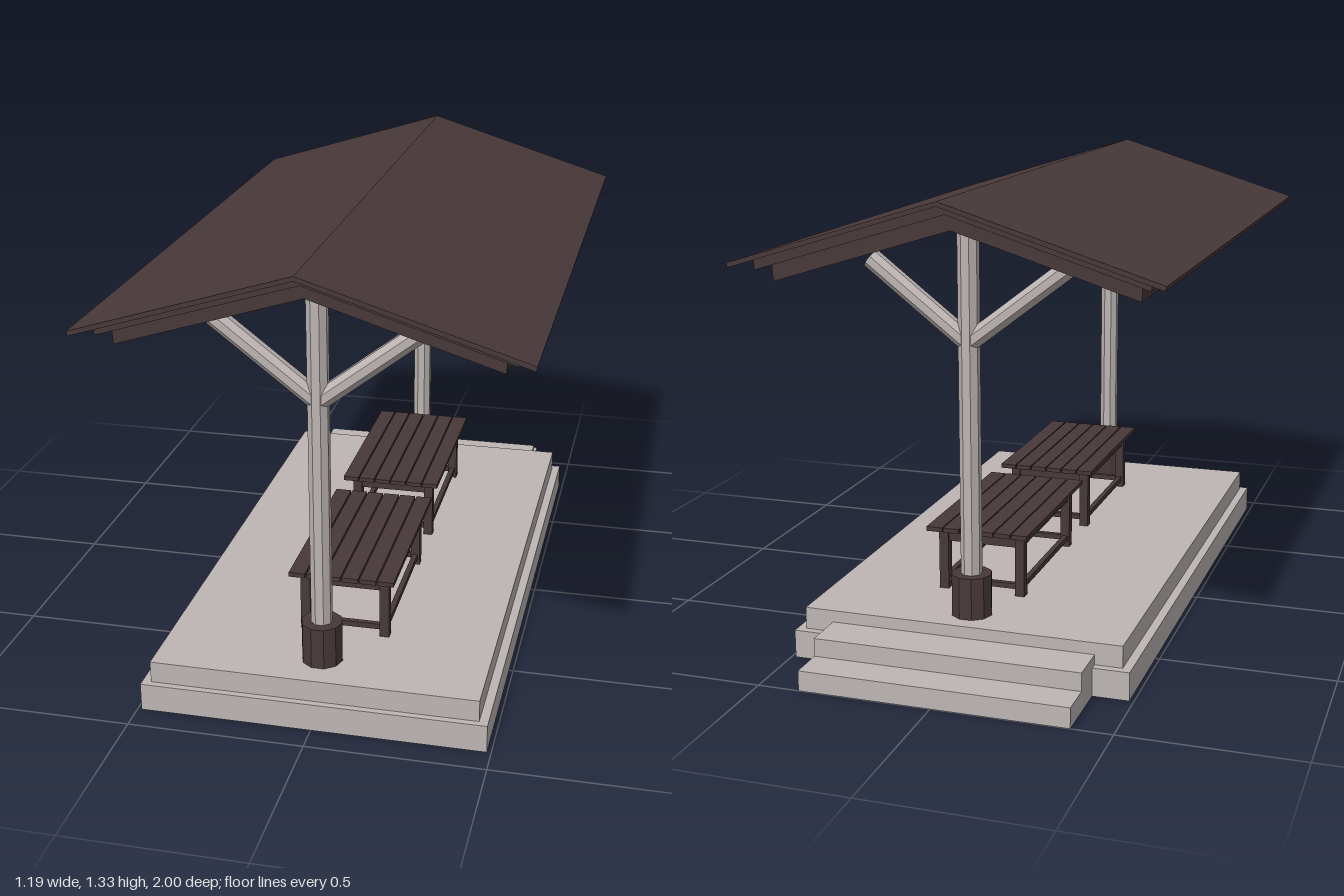
import * as THREE from 'three';

const stone = new THREE.MeshStandardMaterial({ name: 'paleStone', color: 0xbdb6b5 });
const post = new THREE.MeshStandardMaterial({ name: 'palePost', color: 0xbdb5b3, flatShading: true });
const wood = new THREE.MeshStandardMaterial({ name: 'darkWood', color: 0x483939, flatShading: true });

// Box given by its limits on each axis
function box(parent, name, material, [x0, x1], [y0, y1], [z0, z1]) {
  const mesh = new THREE.Mesh(new THREE.BoxGeometry(x1 - x0, y1 - y0, z1 - z0), material);
  mesh.position.set((x0 + x1) / 2, (y0 + y1) / 2, (z0 + z1) / 2);
  mesh.name = name;
  parent.add(mesh);
}

// Faceted round bar between two points
function bar(parent, name, material, from, to, radius, sides = 8) {
  const a = new THREE.Vector3(...from), b = new THREE.Vector3(...to);
  const dir = b.clone().sub(a);
  const geometry = new THREE.CylinderGeometry(radius, radius, dir.length(), sides);
  geometry.rotateY(Math.PI / sides);
  const mesh = new THREE.Mesh(geometry, material);
  mesh.position.copy(a).add(b).multiplyScalar(0.5);
  mesh.quaternion.setFromUnitVectors(new THREE.Vector3(0, 1, 0), dir.normalize());
  mesh.name = name;
  parent.add(mesh);
}

// Gabled slab: chevron section extruded along z
function roofLayer(parent, name, halfWidth, top, thickness, z0, z1) {
  const drop = 0.309 * halfWidth;
  const shape = new THREE.Shape([
    [0, top], [-halfWidth, top - drop], [-halfWidth + 0.003, top - drop - thickness],
    [0, top - thickness], [halfWidth - 0.003, top - drop - thickness], [halfWidth, top - drop],
  ].map(([x, y]) => new THREE.Vector2(x, y)));
  const geometry = new THREE.ExtrudeGeometry(shape, { depth: z1 - z0, bevelEnabled: false });
  geometry.translate(0, 0, z0);
  const mesh = new THREE.Mesh(geometry, wood);
  mesh.name = name;
  parent.add(mesh);
}

// Slatted table standing on the platform, centred on the given z
function table(z) {
  const g = new THREE.Group();
  g.name = 'table';
  g.position.set(0.028, 0, z);
  const pitch = 0.307 / 6;
  for (let i = 0; i < 6; i++) {
    const x = -0.1535 + i * pitch;
    box(g, 'topPlank', wood, [x + 0.002, x + pitch - 0.002], [0.33, 0.343], [-0.283, 0.283]);
  }
  for (const sx of [-1, 1]) {
    const x = sx * 0.1155;
    for (const sz of [-1, 1]) {
      box(g, 'leg', wood, [x - 0.014, x + 0.014], [0.144, 0.33], [sz * 0.226 - 0.014, sz * 0.226 + 0.014]);
    }
    box(g, 'sideApron', wood, [x - 0.008, x + 0.008], [0.292, 0.33], [-0.213, 0.213]);
    box(g, 'sideRail', wood, [x - 0.008, x + 0.008], [0.163, 0.179], [-0.213, 0.213]);
    const ze = sx * 0.226;
    box(g, 'endApron', wood, [-0.102, 0.102], [0.289, 0.33], [ze - 0.008, ze + 0.008]);
    box(g, 'endRail', wood, [-0.102, 0.102], [0.163, 0.179], [ze - 0.008, ze + 0.008]);
  }
  return g;
}

export function createModel() {
  const model = new THREE.Group();
  model.name = 'picnicShelter';

  // Two-tier platform with steps at the back
  box(model, 'lowerPlatform', stone, [-0.488, 0.488], [0, 0.081], [-0.795, 0.922]);
  box(model, 'upperPlatform', stone, [-0.463, 0.463], [0.081, 0.144], [-0.772, 0.903]);
  box(model, 'lowerStep', stone, [-0.385, 0.38], [0, 0.058], [-1, -0.795]);
  box(model, 'upperStep', stone, [-0.385, 0.38], [0.058, 0.11], [-0.897, -0.772]);

  // Posts with sleeves and forked braces
  for (const z of [0.78, -0.67]) {
    bar(model, 'post', post, [0, 0.144, z], [0, 1.25, z], 0.03);
    bar(model, 'postSleeve', wood, [0, 0.144, z], [0, 0.264, z], 0.058, 10);
    for (const s of [-1, 1]) bar(model, 'brace', post, [0, 0.918, z], [s * 0.28, 1.135, z], 0.028);
  }
  bar(model, 'ridgeBeam', post, [0, 1.228, -0.67], [0, 1.228, 0.78], 0.031);

  // Roof in three stepped layers
  roofLayer(model, 'roofSheet', 0.594, 1.325, 0.013, -0.9, 1);
  roofLayer(model, 'roofMiddleLayer', 0.545, 1.312, 0.028, -0.842, 0.945);
  roofLayer(model, 'roofLowerLayer', 0.511, 1.284, 0.046, -0.802, 0.905);

  model.add(table(0.39), table(-0.272));
  return model;
}
